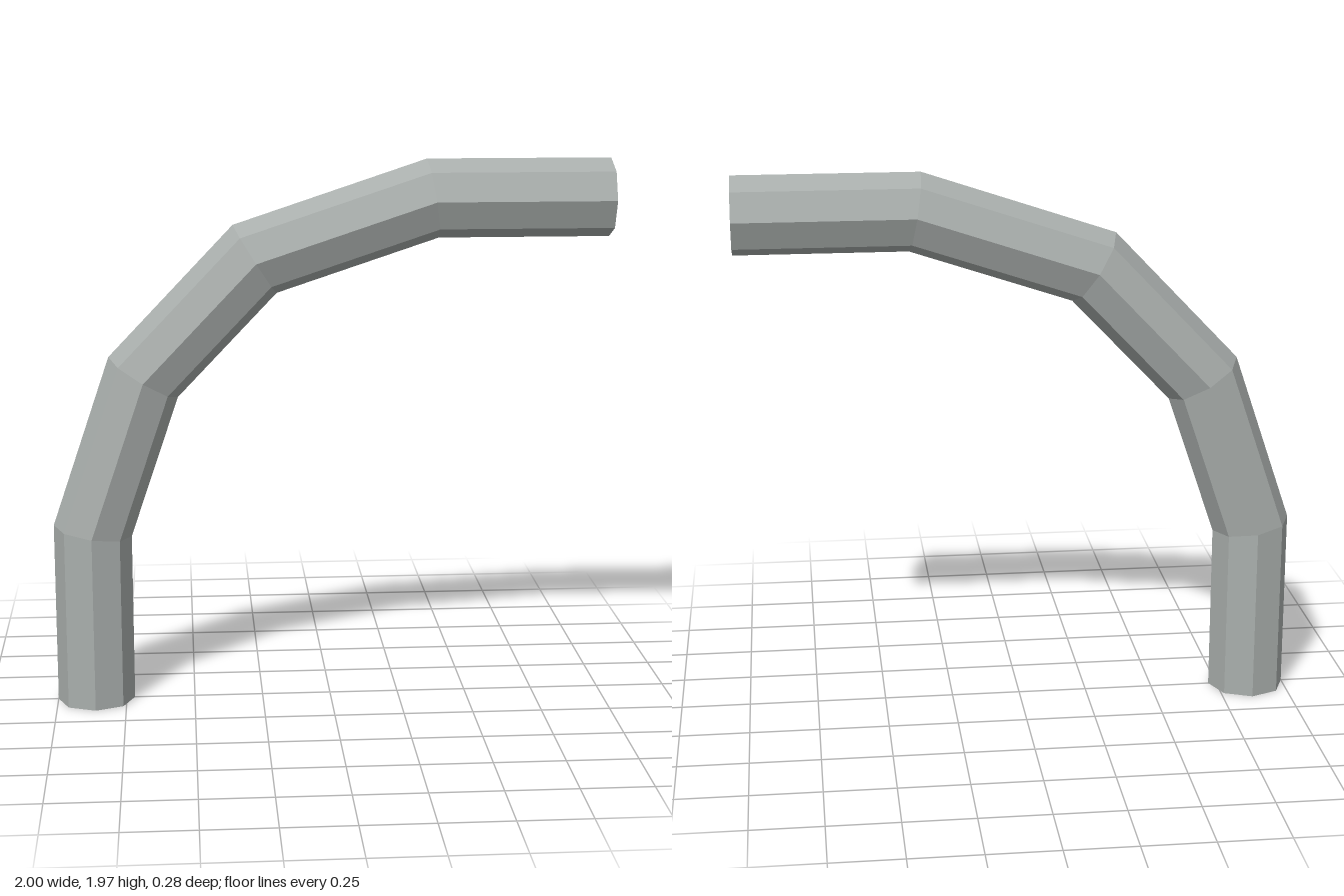
import * as THREE from 'three';

const RADIUS = 0.14;
const SIDES = 8;

// Centre line of the pipe: upright leg, three bend segments, level arm
const PATH = [
  [-0.86, 0], [-0.86, 0.637], [-0.668, 1.2], [-0.267, 1.62], [0.365, 1.83], [1, 1.83],
].map(([x, y]) => new THREE.Vector2(x, y));

// Octagonal ring at a path point, mitred between its two neighbouring segments
function ring(i) {
  const last = PATH.length - 1;
  const dirIn = PATH[Math.max(i, 1)].clone().sub(PATH[Math.max(i, 1) - 1]).normalize();
  const k = Math.min(i, last - 1);
  const dirOut = PATH[k + 1].clone().sub(PATH[k]).normalize();
  const tangent = dirIn.clone().add(dirOut).normalize();
  const width = RADIUS / tangent.dot(dirIn);
  return Array.from({ length: SIDES }, (_, j) => {
    const a = (j / SIDES) * Math.PI * 2;
    const off = Math.cos(a) * width;
    return [PATH[i].x - tangent.y * off, PATH[i].y + tangent.x * off, Math.sin(a) * RADIUS];
  });
}

function pipeGeometry() {
  const rings = PATH.map((_, i) => ring(i));
  const first = rings[0], end = rings[rings.length - 1];
  const positions = [];
  const tri = (...corners) => corners.forEach((c) => positions.push(...c));
  for (let j = 0; j < SIDES; j++) {
    const n = (j + 1) % SIDES;
    // Pipe wall
    for (let i = 0; i < rings.length - 1; i++) {
      const p = rings[i], q = rings[i + 1];
      tri(p[j], p[n], q[n]);
      tri(p[j], q[n], q[j]);
    }
    // Closed ends
    tri([PATH[0].x, PATH[0].y, 0], first[n], first[j]);
    tri([PATH.at(-1).x, PATH.at(-1).y, 0], end[j], end[n]);
  }
  const geometry = new THREE.BufferGeometry();
  geometry.setAttribute('position', new THREE.Float32BufferAttribute(positions, 3));
  geometry.computeVertexNormals();
  return geometry;
}

export function createModel() {
  const grey = new THREE.MeshStandardMaterial({ color: 0xa9aeac, flatShading: true });
  grey.name = 'pipe grey';

  const pipe = new THREE.Mesh(pipeGeometry(), grey);
  pipe.name = 'bentPipe';

  const group = new THREE.Group();
  group.name = 'pipeElbow';
  group.add(pipe);
  return group;
}
